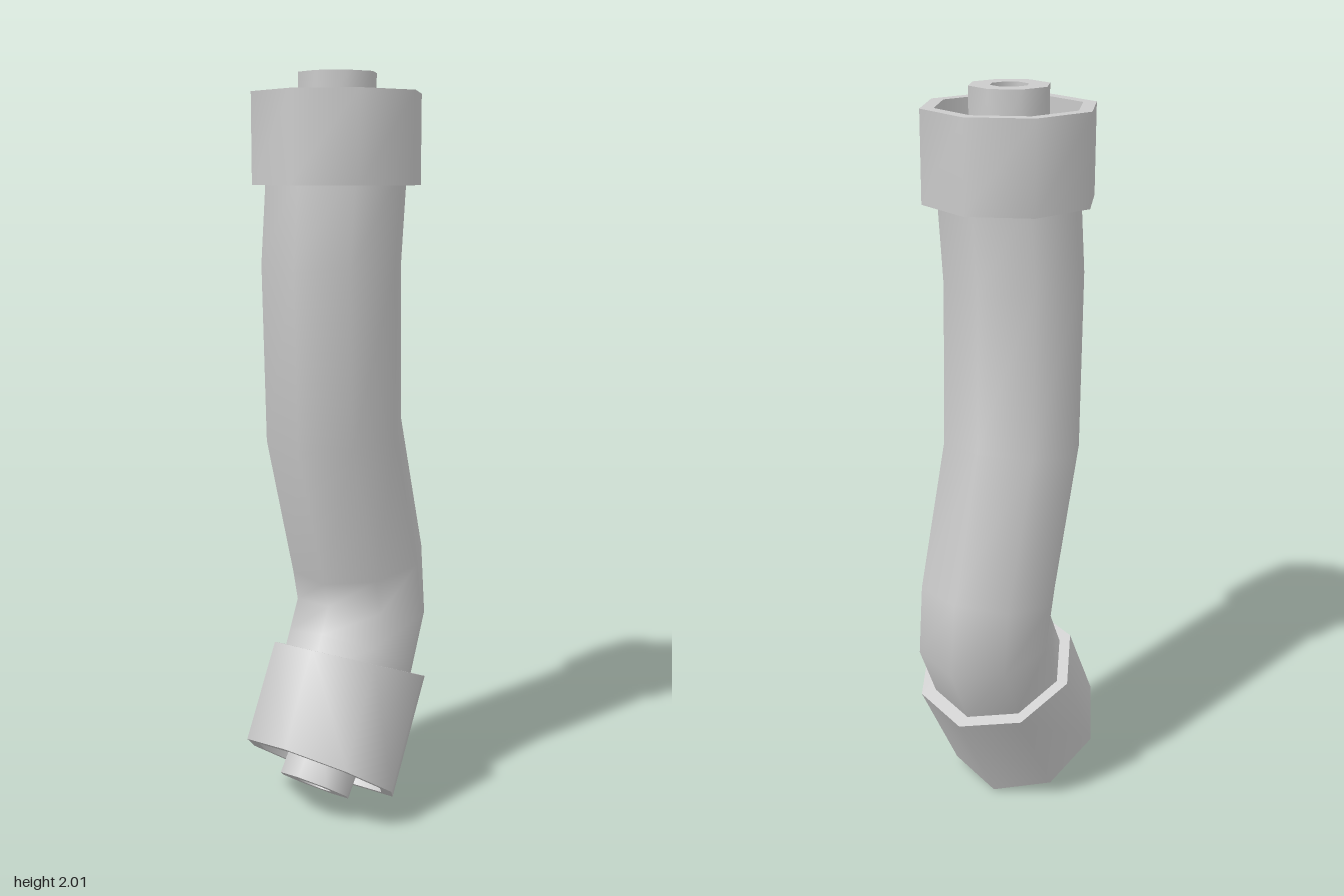
import * as THREE from 'three';

const SIDES = 8;
const TURN = THREE.MathUtils.degToRad(21);
const UP = new THREE.Vector3(0, 1, 0);
const material = new THREE.MeshStandardMaterial({ color: 0xcccccc });
const vec = (a) => new THREE.Vector3(...a);

// One octagonal cross-section: centre, axis direction, radius
const ring = (center, axis, radius) => ({ center, axis: axis.clone().normalize(), radius });

// Skin a row of octagons; flip is for rows that run against their axis
function sweep(name, rings, flip = false) {
  const positions = [], index = [];
  rings.forEach(({ center, axis, radius }, j) => {
    const q = new THREE.Quaternion().setFromUnitVectors(UP, axis);
    for (let i = 0; i < SIDES; i++) {
      const a = TURN + (i / SIDES) * Math.PI * 2;
      const p = new THREE.Vector3(Math.cos(a) * radius, 0, Math.sin(a) * radius);
      positions.push(...p.applyQuaternion(q).add(center).toArray());
      if (j === 0) continue;
      const k = (i + 1) % SIDES, lo = (j - 1) * SIDES, hi = j * SIDES;
      const quad = [lo + i, hi + i, lo + k, lo + k, hi + i, hi + k];
      index.push(...(flip ? quad.reverse() : quad));
    }
  });
  const geometry = new THREE.BufferGeometry();
  geometry.setAttribute('position', new THREE.Float32BufferAttribute(positions, 3));
  geometry.setIndex(index);
  geometry.computeVertexNormals();
  const mesh = new THREE.Mesh(geometry, material);
  mesh.name = name;
  return mesh;
}

// Hollow collar with a bored stub inside; sign is +1 if it opens along its axis
function coupling(name, base, baseAxis, rim, rimAxis, sign) {
  const group = new THREE.Group();
  group.name = name;
  const out = rimAxis.clone().normalize().multiplyScalar(sign);
  const at = (r, t) => ring(rim.clone().addScaledVector(out, t), rimAxis, r);
  const rows = [
    ring(base, baseAxis, 0.14), ring(base, baseAxis, 0.228),
    at(0.228, 0), at(0.192, 0), at(0.192, -0.15),   // collar wall and recess
    at(0.105, -0.15), at(0.105, 0.05),              // recess floor and stub
    at(0.05, 0.05), at(0.05, -0.06), at(0, -0.06),  // bore
  ];
  const parts = ['collarShoulder', 'collarWall', 'collarRim', 'recessWall', 'recessFloor',
    'stubWall', 'stubEnd', 'boreWall', 'boreFloor'];
  parts.forEach((part, i) => group.add(sweep(part, [rows[i], rows[i + 1]], sign < 0)));
  return group;
}

export function createModel() {
  const model = new THREE.Group();
  model.name = 'bentPipe';

  // Bent tube, from the lower collar up to the upper one
  const stations = [
    [[0.00, 0.32, -0.01], [0.47, 0.86, -0.17]],
    [[0.045, 0.41, -0.03], [0.47, 0.86, -0.17]],
    [[0.10, 0.53, -0.055], [0.22, 0.97, -0.09]],
    [[0.09, 0.67, -0.06], [-0.16, 0.98, 0.03]],
    [[-0.015, 1.06, -0.025], [-0.16, 0.98, 0.07]],
    [[-0.04, 1.51, 0.00], [0, 1, 0.03]],
    [[-0.025, 1.75, 0.003], [0, 1, 0]],
  ];
  model.add(sweep('tube', stations.map(([c, n]) => ring(vec(c), vec(n), 0.19))));

  // End couplings
  model.add(coupling('upperCoupling', vec([-0.024, 1.715, 0.003]), UP,
    vec([-0.024, 1.95, 0.003]), UP, 1));
  model.add(coupling('lowerCoupling', vec([0.037, 0.39, -0.02]), vec([0.40, 1, -0.15]),
    vec([-0.105, 0.115, 0.035]), vec([0.55, 0.85, -0.17]), -1));
  return model;
}
